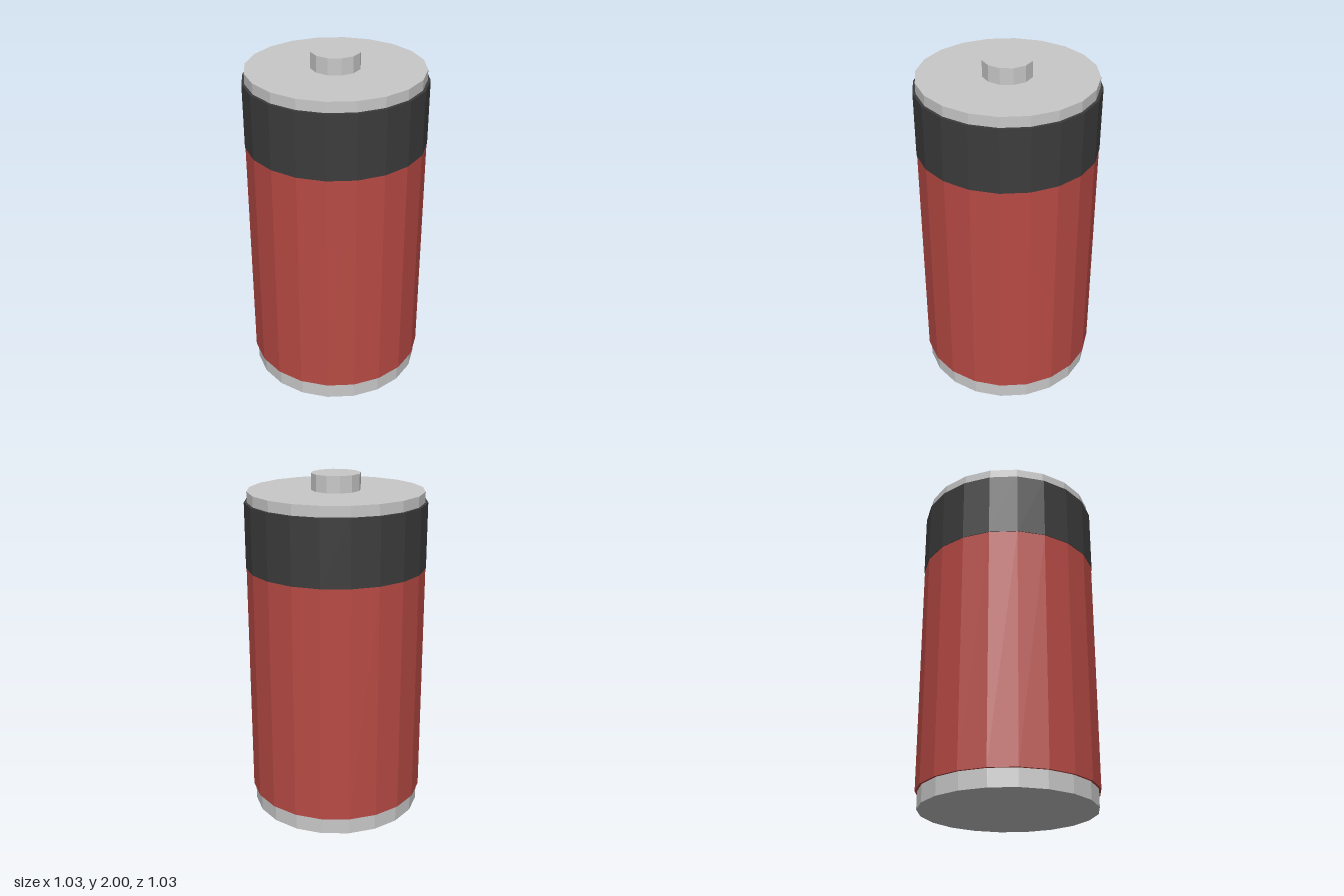
import * as THREE from 'three';

const material = (name, color) => {
  const m = new THREE.MeshStandardMaterial({ color, flatShading: true });
  m.name = name;
  return m;
};

export function createModel() {
  const silver = material('silver metal', 0xc8c8c8);
  const red = material('red wrapper', 0xb84a44);
  const black = material('black band', 0x3c3c3c);

  const model = new THREE.Group();
  model.name = 'battery';

  // Faceted upright cylinder from y0 to y1
  const drum = (name, radius, y0, y1, sides, mat) => {
    const mesh = new THREE.Mesh(new THREE.CylinderGeometry(radius, radius, y1 - y0, sides), mat);
    mesh.name = name;
    mesh.position.y = (y0 + y1) / 2;
    model.add(mesh);
  };

  // Metal core shows at both ends, wrapped by the coloured sleeves
  drum('core', 0.5, 0, 1.906, 20, silver);
  drum('wrapper', 0.513, 0.1, 1.473, 20, red);
  drum('topBand', 0.516, 1.473, 1.846, 20, black);
  drum('terminal', 0.14, 1.906, 2, 12, silver);

  return model;
}
